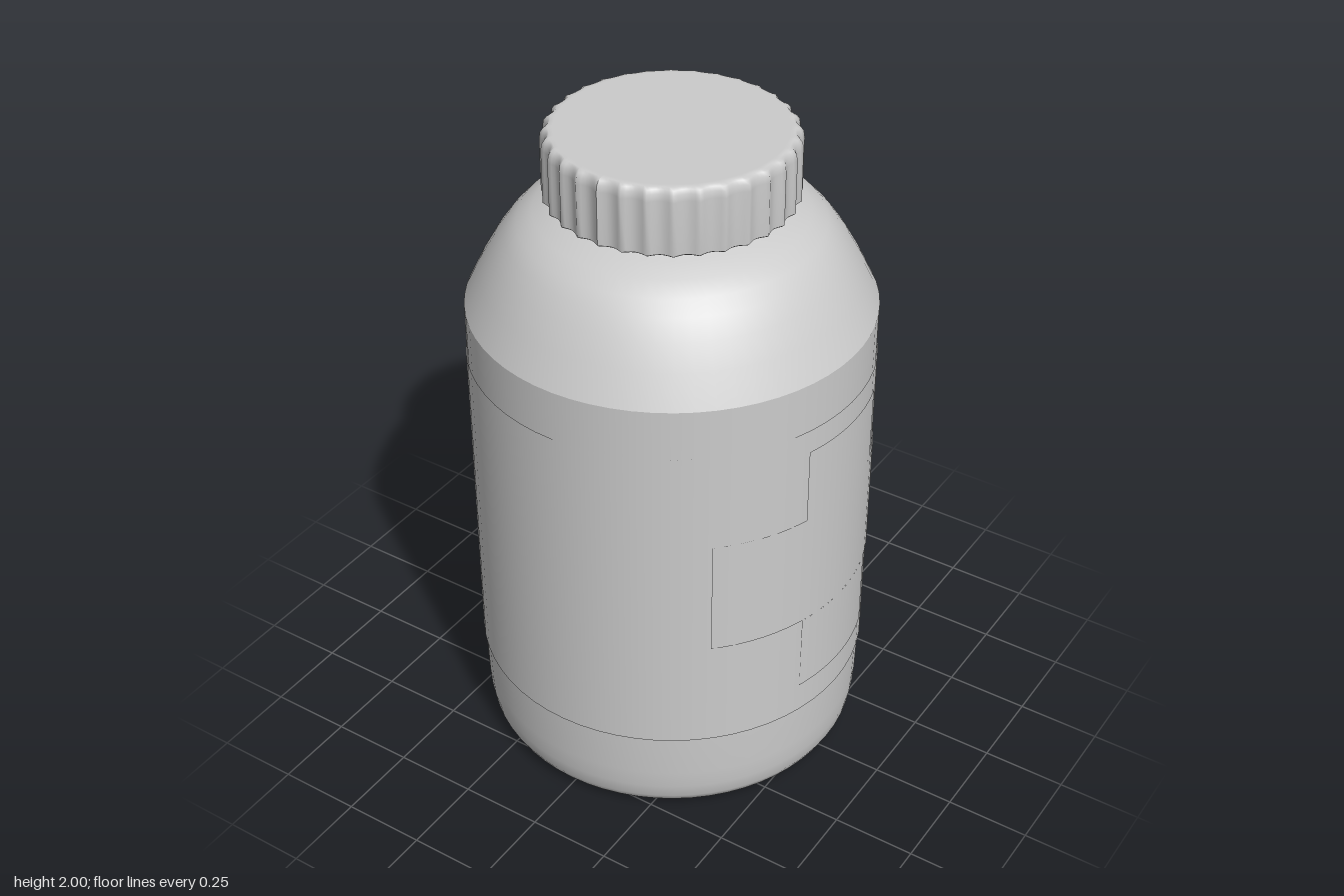
import * as THREE from 'three';

const material = new THREE.MeshStandardMaterial({ color: 0xcccccc, side: THREE.DoubleSide });

// Revolved part from [radius, height] points, listed bottom to top on the outside
function lathe(name, points, segments = 64, start = 0, length = Math.PI * 2) {
  const profile = points.map(([r, y]) => new THREE.Vector2(r, y));
  const mesh = new THREE.Mesh(new THREE.LatheGeometry(profile, segments, start, length), material);
  mesh.name = name;
  return mesh;
}

// Curved raised panel centred on +x, given its half width in z
function panel(name, halfWidth, y0, y1) {
  const r = 0.592;
  const half = Math.asin(halfWidth / r);
  return lathe(name, [[r, y0], [r, y1]], 24, Math.PI / 2 - half, half * 2);
}

// Cap wall with concave grip flutes meeting in outward ridges
function makeCap() {
  const flutes = 32, depth = 0.013;
  const cap = lathe('cap', [
    [0.27, 1.8], [0.335, 1.8], [0.352, 1.801], [0.358, 1.806], [0.358, 1.965], [0.355, 1.984],
    [0.347, 1.995], [0.335, 2], [0.32, 2], [0, 2],
  ], flutes * 6);
  const position = cap.geometry.attributes.position;
  for (let i = 0; i < position.count; i++) {
    const x = position.getX(i), z = position.getZ(i);
    const r = Math.hypot(x, z);
    if (r < 0.3) continue;
    const wave = Math.abs(Math.sin(Math.atan2(x, z) * flutes / 2));
    const k = 1 - depth * wave * THREE.MathUtils.smoothstep(r, 0.325, 0.355) / r;
    position.setX(i, x * k);
    position.setZ(i, z * k);
  }
  cap.geometry.computeVertexNormals();
  return cap;
}

export function createModel() {
  const model = new THREE.Group();
  model.name = 'bottle';

  // Bottle: base and wall, then a shoulder with a crisp lower edge, then the neck
  model.add(lathe('body', [
    [0, 0.005], [0.48, 0.005], [0.51, 0.008], [0.535, 0.015], [0.556, 0.03],
    [0.569, 0.055], [0.577, 0.1], [0.581, 0.16], [0.584, 0.28], [0.586, 0.4], [0.586, 1.47],
  ]));
  model.add(lathe('shoulder', [
    [0.586, 1.47], [0.54, 1.565], [0.5, 1.635], [0.465, 1.685], [0.43, 1.723],
    [0.385, 1.752], [0.33, 1.775], [0.27, 1.793], [0.255, 1.8],
  ]));
  model.add(lathe('neck', [[0.27, 1.785], [0.27, 1.85]]));

  // Wraparound label with a raised cross on its left side
  model.add(lathe('label', [[0.589, 0.3], [0.589, 1.32]]));
  const cross = new THREE.Group();
  cross.name = 'labelCross';
  cross.add(
    panel('crossBar', 0.427, 0.65, 1.015),
    panel('crossTop', 0.18, 1.015, 1.25),
    panel('crossBottom', 0.18, 0.4, 0.65),
  );
  model.add(cross);

  model.add(makeCap());
  return model;
}
